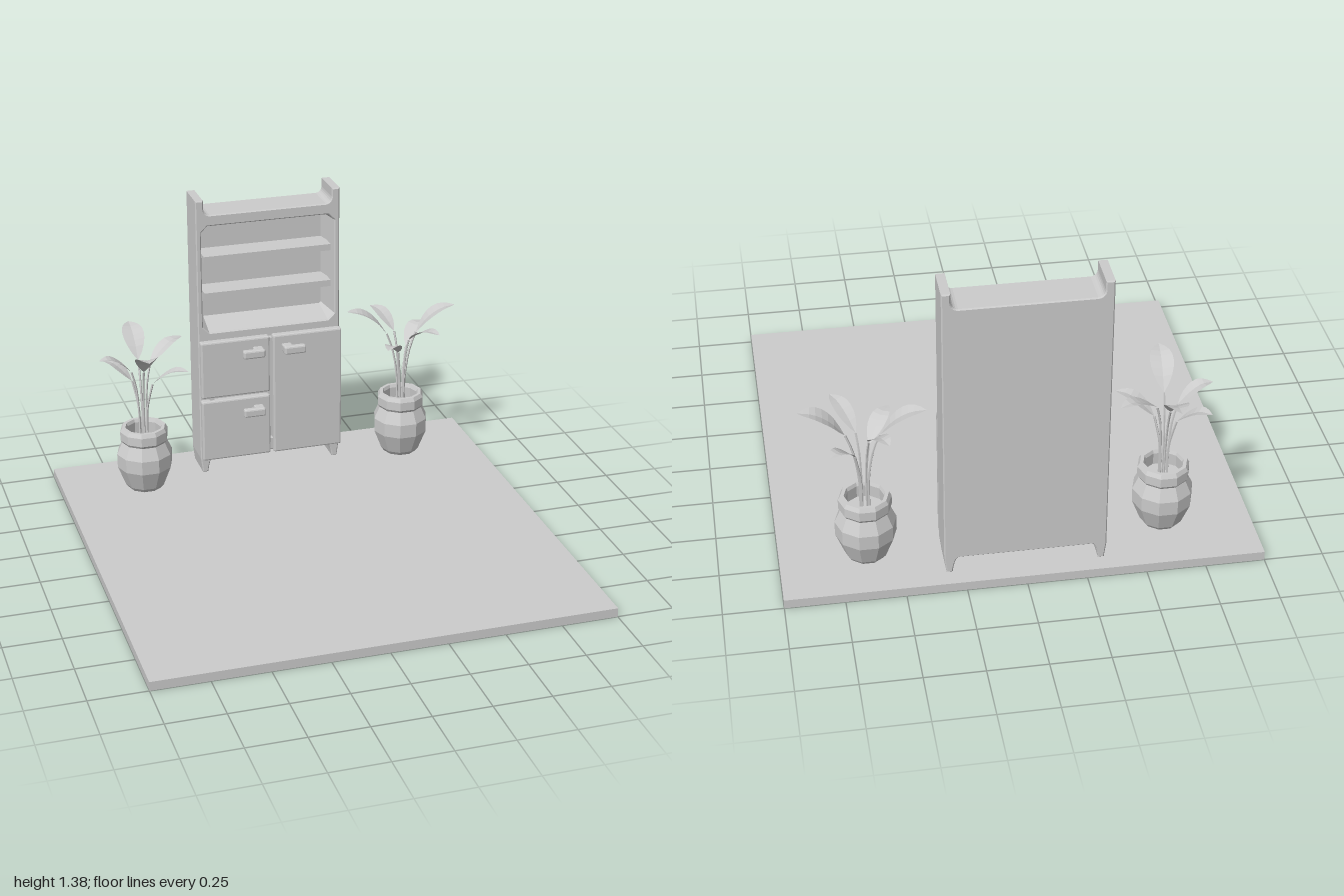
import * as THREE from 'three';
import { RoundedBoxGeometry } from 'three/addons/geometries/RoundedBoxGeometry.js';

const grey = new THREE.MeshStandardMaterial({ color: 0xcccccc, flatShading: true });
const greyThin = new THREE.MeshStandardMaterial({ color: 0xcccccc, flatShading: true, side: THREE.DoubleSide });

function add(parent, name, geometry, x = 0, y = 0, z = 0, material = grey) {
  const mesh = new THREE.Mesh(geometry, material);
  mesh.name = name;
  mesh.position.set(x, y, z);
  parent.add(mesh);
}

// Box given by its limits, with optional rounded edges
function box(parent, name, [x0, x1], [y0, y1], [z0, z1], r = 0) {
  const size = [x1 - x0, y1 - y0, z1 - z0];
  const geometry = r ? new RoundedBoxGeometry(...size, 1, r) : new THREE.BoxGeometry(...size);
  add(parent, name, geometry, (x0 + x1) / 2, (y0 + y1) / 2, (z0 + z1) / 2);
}

// Cabinet outline with tapered legs below and raised posts above, joined by fillets
function outline() {
  const w = 0.338, s = new THREE.Shape();
  s.moveTo(-w + 0.009, 0.04);
  s.lineTo(-w + 0.034, 0.04);
  s.quadraticCurveTo(-0.295, 0.112, -0.275, 0.112);
  s.lineTo(0.275, 0.112);
  s.quadraticCurveTo(0.295, 0.112, w - 0.034, 0.04);
  s.lineTo(w - 0.009, 0.04);
  s.lineTo(w, 0.11);
  s.lineTo(w, 1.38);
  s.lineTo(w - 0.037, 1.38);
  s.lineTo(w - 0.037, 1.34);
  s.quadraticCurveTo(0.298, 1.312, 0.272, 1.31);
  s.lineTo(-0.272, 1.31);
  s.quadraticCurveTo(-0.298, 1.312, -w + 0.037, 1.34);
  s.lineTo(-w + 0.037, 1.38);
  s.lineTo(-w, 1.38);
  s.lineTo(-w, 0.11);
  s.closePath();
  return s;
}

// Rectangle with cut corners, clockwise from the bottom
function octagon(a, y0, y1, c) {
  return [
    [-a + c, y0], [-a, y0 + c], [-a, y1 - c], [-a + c, y1],
    [a - c, y1], [a, y1 - c], [a, y0 + c], [a - c, y0],
  ].map(p => new THREE.Vector2(...p));
}

// Wall between two rings of points lying at different depths
function loft(ringA, zA, ringB, zB) {
  const pos = [], index = [], n = ringA.length;
  ringA.forEach((p, i) => {
    pos.push(p.x, p.y, zA, ringB[i].x, ringB[i].y, zB);
    const a = i * 2, b = ((i + 1) % n) * 2;
    index.push(a, b, a + 1, b, b + 1, a + 1);
  });
  const geometry = new THREE.BufferGeometry();
  geometry.setAttribute('position', new THREE.Float32BufferAttribute(pos, 3));
  geometry.setIndex(index);
  geometry.computeVertexNormals();
  return geometry;
}

function createCabinet() {
  const g = new THREE.Group();
  g.name = 'cabinet';
  g.position.x = -0.004;

  // Carcass with a chamfered display opening, closed at the back
  const bevel = 0.005, depth = 0.165;
  const frame = outline(), rim = octagon(0.314, 0.742, 1.258, 0.03);
  frame.holes.push(new THREE.Path(rim));
  add(g, 'carcass', new THREE.ExtrudeGeometry(frame, {
    depth: depth - 2 * bevel, curveSegments: 5, bevelThickness: bevel,
    bevelSize: bevel, bevelOffset: -bevel, bevelSegments: 1,
  }), 0, 0, -0.926 + bevel);
  box(g, 'backPanel', [-0.325, 0.325], [0.73, 1.27], [-0.926, -0.895]);

  // Narrowing lining and shelves inside the opening
  add(g, 'openingLining', loft(rim, -0.768, octagon(0.288, 0.775, 1.237, 0.008), -0.895), 0, 0, 0, greyThin);
  for (const y of [0.917, 1.093]) box(g, 'shelf', [-0.3, 0.3], [y - 0.015, y + 0.015], [-0.9, -0.775]);

  // Doors and drawer fronts
  const fronts = [
    ['upperDrawer', [-0.337, -0.01], [0.432, 0.71]],
    ['lowerDrawer', [-0.337, -0.01], [0.117, 0.416]],
    ['door', [0.006, 0.337], [0.117, 0.71]],
  ];
  for (const [name, x, y] of fronts) box(g, name, x, y, [-0.757, -0.718], 0.008);
  for (const y of [0.68, 0.17]) box(g, 'hinge', [-0.012, 0.008], [y - 0.015, y + 0.015], [-0.762, -0.735]);
  box(g, 'drawerSpacer', [-0.295, -0.275], [0.414, 0.434], [-0.762, -0.735]);

  // L-shaped handles
  for (const [s, y] of [[-1, 0.65], [-1, 0.357], [1, 0.65]]) {
    const handle = new THREE.Group();
    handle.name = 'handle';
    g.add(handle);
    const span = (p, q) => [Math.min(s * p, s * q), Math.max(s * p, s * q)];
    box(handle, 'handleGrip', span(0.046, 0.149), [y - 0.02, y + 0.02], [-0.692, -0.66], 0.008);
    box(handle, 'handleStem', span(0.046, 0.092), [y - 0.018, y + 0.018], [-0.722, -0.67], 0.006);
  }
  return g;
}

// Pointed leaf folded along its midrib, following a curve
function leafGeometry(curve, halfWidth, side) {
  const rows = 8, pos = [], index = [];
  for (let i = 0; i <= rows; i++) {
    const t = i / rows, p = curve.getPoint(t);
    const w = halfWidth * Math.pow(Math.max(0, Math.sin(Math.PI * t)), 0.8);
    for (const k of [-1, 0, 1]) {
      pos.push(p.x + side.x * w * k, p.y + Math.abs(k) * w * 0.2, p.z + side.z * w * k);
    }
    if (i === rows) break;
    for (const k of [0, 1]) {
      const b = i * 3 + k;
      index.push(b, b + 1, b + 3, b + 1, b + 4, b + 3);
    }
  }
  const geometry = new THREE.BufferGeometry();
  geometry.setAttribute('position', new THREE.Float32BufferAttribute(pos, 3));
  geometry.setIndex(index);
  geometry.computeVertexNormals();
  return geometry;
}

// Faceted pot with arching leaves; each leaf is [tip dx, tip dz, tip height]
function createPlant(name, x, z, leaves) {
  const g = new THREE.Group();
  g.name = name;
  g.position.set(x, 0, z);

  const profile = [
    [0, 0.04], [0.078, 0.04], [0.092, 0.058], [0.128, 0.15], [0.129, 0.215], [0.103, 0.272],
    [0.111, 0.284], [0.111, 0.325], [0.101, 0.343], [0.086, 0.343], [0.08, 0.328], [0.084, 0.26],
  ].map(p => new THREE.Vector2(...p));
  add(g, 'pot', new THREE.LatheGeometry(profile, 10, Math.PI / 10), 0, 0, 0, greyThin);
  add(g, 'soil', new THREE.CylinderGeometry(0.084, 0.084, 0.02, 10, 1, false, Math.PI / 10), 0, 0.262, 0);

  for (const [dx, dz, tipY] of leaves) {
    const reach = Math.hypot(dx, dz), ux = dx / reach, uz = dz / reach;
    const at = (r, y) => new THREE.Vector3(ux * r, y, uz * r);
    const long = tipY > 0.74;
    const baseR = long ? 0.07 : 0.05, baseY = tipY - (long ? 0.12 : 0.08);
    const rise = tipY - baseY;
    // Long leaves level out at the tip, short ones droop a little
    const blade = new THREE.CatmullRomCurve3([
      at(baseR, baseY),
      at(baseR + (reach - baseR) * 0.3, baseY + rise * 0.56),
      at(baseR + (reach - baseR) * 0.65, baseY + rise * (long ? 0.9 : 0.98)),
      at(reach, tipY),
    ]);
    const stem = new THREE.CatmullRomCurve3([
      at(0.018, 0.26), at(0.02, 0.42), at(baseR * 0.6, baseY - 0.08), at(baseR, baseY),
    ]);
    add(g, 'stem', new THREE.TubeGeometry(stem, 8, 0.005, 5));
    add(g, 'leaf', leafGeometry(blade, long ? 0.05 : 0.038, { x: -uz, z: ux }), 0, 0, 0, greyThin);
  }
  return g;
}

export function createModel() {
  const model = new THREE.Group();
  model.name = 'cabinetWithPlants';

  // Floor slab, open underneath (the downward face is left out)
  const slab = new THREE.BoxGeometry(2, 0.04, 2);
  slab.setIndex([...slab.index.array].filter((_, i) => i < 18 || i >= 24));
  slab.clearGroups();
  add(model, 'floor', slab, 0, 0.02, 0, greyThin);

  model.add(createCabinet());
  model.add(createPlant('rightPlant', -0.622, -0.71, [
    [0, -0.26, 0.76], [-0.02, 0.26, 0.76], [0.22, -0.12, 0.715],
    [0.19, 0.12, 0.637], [-0.2, 0.03, 0.7], [-0.165, -0.12, 0.64],
  ]));
  model.add(createPlant('leftPlant', 0.635, -0.742, [
    [-0.257, -0.04, 0.76], [0.257, 0.016, 0.76], [-0.09, -0.2, 0.715],
    [0.145, -0.14, 0.637], [0.11, 0.22, 0.7], [-0.13, 0.19, 0.64],
  ]));
  return model;
}
